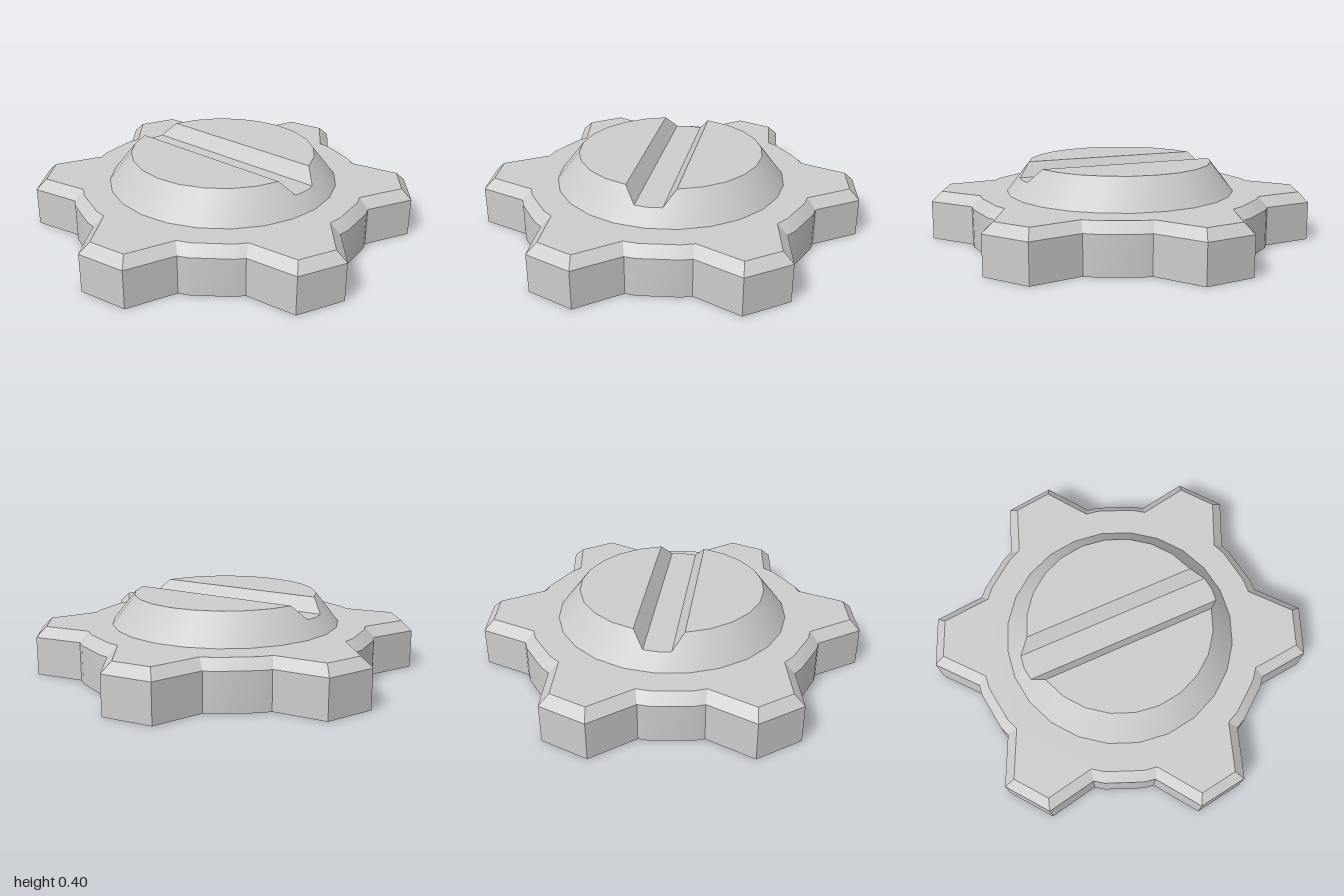
import * as THREE from 'three';
import { mergeGeometries, toCreasedNormals } from 'three/addons/utils/BufferGeometryUtils.js';

const polar = (r, deg) => {
  const a = THREE.MathUtils.degToRad(deg);
  return new THREE.Vector2(r * Math.cos(a), r * Math.sin(a));
};

// Stack of equal-length counter-clockwise outlines [{ y, pts }], with optional end caps.
// Outline (x, y) becomes (x, height, -y).
function loft(rings, capBottom, capTop) {
  const pos = [];
  const put = (ring, i) => pos.push(ring.pts[i].x, ring.y, -ring.pts[i].y);
  for (let k = 0; k < rings.length - 1; k++) {
    const lo = rings[k], hi = rings[k + 1], n = lo.pts.length;
    for (let i = 0; i < n; i++) {
      const j = (i + 1) % n;
      put(lo, i); put(lo, j); put(hi, j);
      put(lo, i); put(hi, j); put(hi, i);
    }
  }
  const cap = (ring, flip) => {
    for (const [a, b, c] of THREE.ShapeUtils.triangulateShape(ring.pts.slice(), [])) {
      put(ring, a); put(ring, flip ? c : b); put(ring, flip ? b : c);
    }
  };
  if (capBottom) cap(rings[0], true);
  if (capTop) cap(rings[rings.length - 1], false);
  const geo = new THREE.BufferGeometry();
  geo.setAttribute('position', new THREE.Float32BufferAttribute(pos, 3));
  return geo;
}

// Mitred inward offset of a counter-clockwise outline.
function inset(pts, d) {
  const n = pts.length;
  return pts.map((p, i) => {
    const e1 = p.clone().sub(pts[(i + n - 1) % n]).normalize();
    const e2 = pts[(i + 1) % n].clone().sub(p).normalize();
    const n1 = new THREE.Vector2(-e1.y, e1.x), n2 = new THREE.Vector2(-e2.y, e2.x);
    return n1.clone().add(n2).multiplyScalar(d / (1 + n1.dot(n2))).add(p);
  });
}

export function createModel() {
  const group = new THREE.Group();
  const material = new THREE.MeshStandardMaterial({ color: 0xcccccc });
  const add = (name, geo) => {
    const mesh = new THREE.Mesh(toCreasedNormals(geo, 0.5), material);
    mesh.name = name;
    group.add(mesh);
  };

  // Six-toothed base with a bevelled top edge
  const outline = [];
  for (let t = 0; t < 360; t += 60) {
    for (const [r, a] of [[1, 0], [1, 15], [0.796, 26], [0.8, 30], [0.8, 45], [0.796, 48.8]]) {
      outline.push(polar(r, t + a));
    }
  }
  add('toothedBase', loft([
    { y: 0, pts: outline },
    { y: 0.2, pts: outline },
    { y: 0.25, pts: inset(outline, 0.05) },
  ], true, true));

  // Conical knob: full below the slot floor, two halves above it
  const baseY = 0.25, floorY = 0.33, topY = 0.403;
  const rBase = 0.605, rFloor = 0.543, rTop = 0.485, floorHalf = 0.07;
  const circle = r => Array.from({ length: 24 }, (_, i) => polar(r, i * 15));
  const parts = [loft([
    { y: baseY, pts: circle(rBase) },
    { y: floorY, pts: circle(rFloor) },
  ], false, true)];

  // Where the sloping slot wall meets the knob's side at floor level
  const p75 = polar(rFloor, 75), p90 = polar(rFloor, 90);
  const end = p75.clone().lerp(p90, 1 - floorHalf / p75.x);
  const arc = r => Array.from({ length: 11 }, (_, i) => polar(r, -75 + i * 15));
  const lower = [new THREE.Vector2(end.x, -end.y), ...arc(rFloor), end];
  const upper = [polar(rTop, -75), ...arc(rTop), polar(rTop, 75)];
  for (const s of [1, -1]) {
    const turn = pts => pts.map(p => p.clone().multiplyScalar(s));
    parts.push(loft([
      { y: floorY, pts: turn(lower) },
      { y: topY, pts: turn(upper) },
    ], false, true));
  }
  add('slottedKnob', mergeGeometries(parts));

  return group;
}
